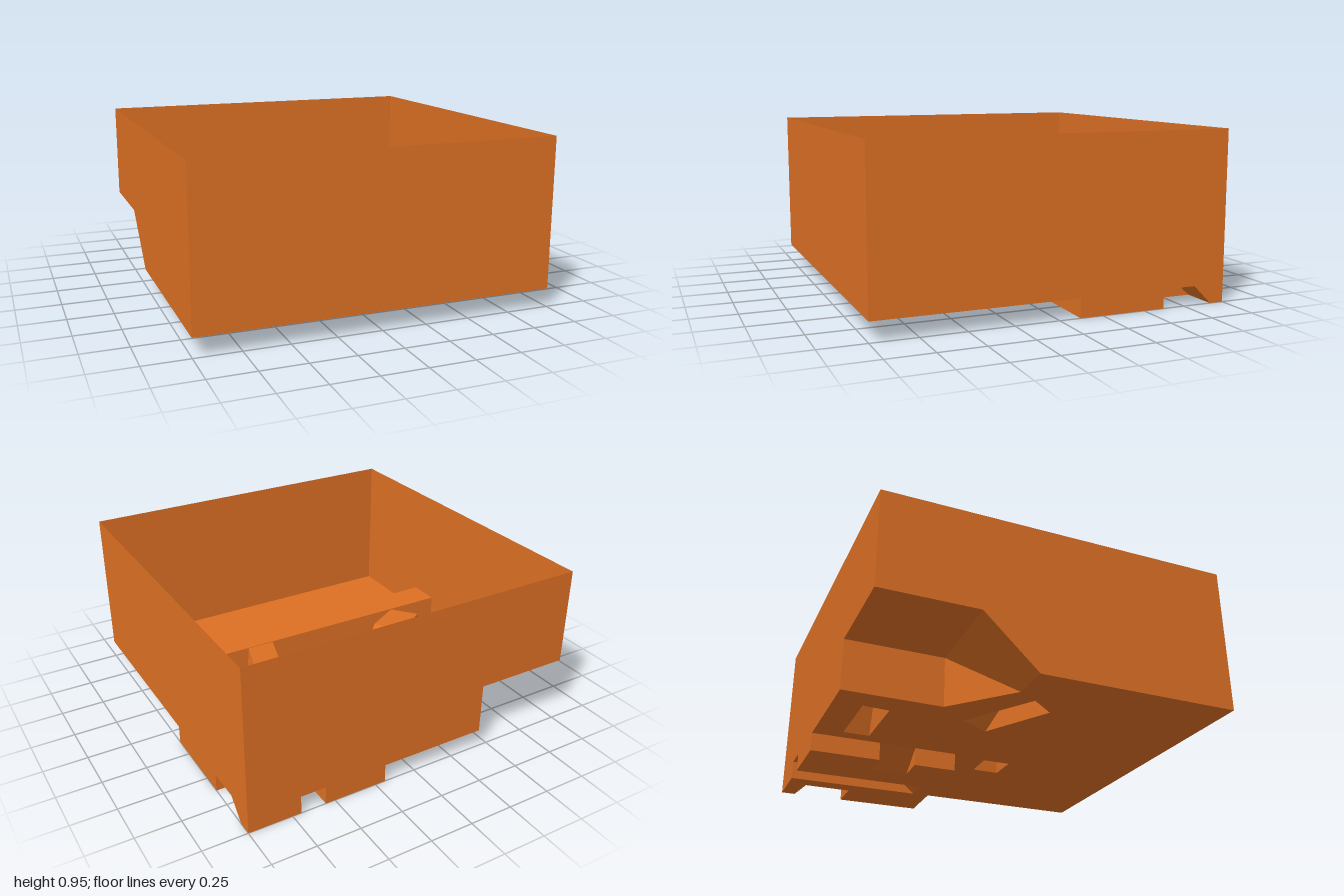
import * as THREE from 'three';

const RIM = 0.96, FLOOR = 0.11, PIT = 0.005;

export function createModel() {
  const model = new THREE.Group();
  model.name = 'arena';
  const clay = new THREE.MeshStandardMaterial({ color: 0xdd7024, side: THREE.DoubleSide, flatShading: true });
  clay.name = 'orange clay';

  const addMesh = (name, geometry, parent = model) => {
    const mesh = new THREE.Mesh(geometry, clay);
    mesh.name = name;
    parent.add(mesh);
  };

  // Geometry from a list of quads, each four [x, y, z] corners
  const quads = (list) => {
    const pos = list.flatMap(([a, b, c, d]) => [a, b, c, a, c, d].flat());
    const g = new THREE.BufferGeometry();
    g.setAttribute('position', new THREE.Float32BufferAttribute(pos, 3));
    g.computeVertexNormals();
    return g;
  };

  // Level sheet from an [x, z] outline with holes, facing up
  const sheet = (name, y, outline, holes = []) => {
    const toPoints = (list) => list.map(([x, z]) => new THREE.Vector2(x, -z));
    const shape = new THREE.Shape(toPoints(outline));
    holes.forEach((h) => shape.holes.push(new THREE.Path(toPoints(h))));
    addMesh(name, new THREE.ShapeGeometry(shape).rotateX(-Math.PI / 2).translate(0, y, 0));
  };

  // Upright wall along a chain of [x, z, bottom]
  const wall = (name, top, chain) => {
    const list = [];
    for (let i = 0; i + 1 < chain.length; i++) {
      const [ax, az, ay] = chain[i], [bx, bz, by] = chain[i + 1];
      if (ax === bx && az === bz) continue;
      list.push([[ax, ay, az], [bx, by, bz], [bx, top, bz], [ax, top, az]]);
    }
    addMesh(name, quads(list));
  };

  // Raised block: stations [first side, second side, height], with sides down to base
  const block = (name, base, stations, { cap = true, sides = [0, 1] } = {}) => {
    const at = ([x, z], y) => [x, y, z];
    const list = [];
    for (let i = 0; i + 1 < stations.length; i++) {
      const s = stations[i], t = stations[i + 1];
      list.push([at(s[0], s[2]), at(s[1], s[2]), at(t[1], t[2]), at(t[0], t[2])]);
      for (const k of sides) {
        list.push([at(s[k], base), at(t[k], base), at(t[k], t[2]), at(s[k], s[2])]);
      }
    }
    const [a, b, y] = stations[0];
    if (cap) list.push([at(a, base), at(b, base), at(b, y), at(a, y)]);
    addMesh(name, quads(list));
  };

  // Outer walls, whose lower edge follows the terrain
  wall('outerWall', RIM, [
    [1, 1, FLOOR], [1, -0.12, FLOOR], [1, -0.12, PIT], [1, -0.62, PIT], [1, -0.62, FLOOR],
    [1, -0.815, FLOOR], [1, -0.92, PIT], [1, -1, PIT],
    [0.7, -1, PIT], [0.7, -1, FLOOR], [0.555, -1, FLOOR], [0.555, -1, PIT], [0.19, -1, PIT], [0.19, -1, FLOOR],
    [-0.44, -1, FLOOR], [-0.44, -1, 0.4], [-1, -1, 0.4],
    [-1, -0.45, 0.4], [-1, -0.145, FLOOR], [-1, 1, FLOOR], [1, 1, FLOOR],
  ]);

  // Main floor, open beneath the hollow blocks
  sheet('mainFloor', FLOOR, [
    [-1, 1], [1, 1], [1, -0.12], [0.19, -0.135], [0.19, -1], [-0.44, -1],
    [-0.44, -0.44], [-0.77, -0.145], [-1, -0.145],
  ], [
    [[-0.29, -0.84], [0.11, -0.84], [0.11, -0.69], [-0.28, -0.69]],
    [[-0.7, -0.03], [-0.59, 0.11], [-0.21, -0.105], [-0.31, -0.275]],
    [[0.22, 0.065], [0.4, 0.07], [0.4, 0.23], [0.22, 0.23]],
  ]);

  // Sunken floor and its edges
  sheet('pitFloor', PIT, [
    [0.19, -0.135], [1, -0.12], [1, -0.62], [0.8, -0.62], [0.8, -0.92], [1, -0.92], [1, -1],
    [0.7, -1], [0.7, -0.22], [0.555, -0.22], [0.555, -1], [0.19, -1],
    [0.19, -0.6], [0.36, -0.59], [0.36, -0.38], [0.19, -0.385],
  ]);
  wall('pitEdgeBack', FLOOR, [[0.19, -1, PIT], [0.19, -0.6, PIT]]);
  wall('pitEdgeFront', FLOOR, [[0.19, -0.385, PIT], [0.19, -0.135, PIT], [1, -0.12, PIT]]);

  // Ramps and causeway inside the pit
  block('pitRamp', PIT, [
    [[0.19, -0.6], [0.19, -0.385], FLOOR], [[0.36, -0.59], [0.36, -0.38], PIT],
  ], { cap: false });
  block('causeway', PIT, [
    [[0.555, -1], [0.7, -1], FLOOR], [[0.555, -0.35], [0.7, -0.35], FLOOR], [[0.555, -0.22], [0.7, -0.22], PIT],
  ], { cap: false });
  block('sideLedge', PIT, [
    [[0.8, -0.62], [1, -0.62], FLOOR], [[0.8, -0.8], [1, -0.815], FLOOR], [[0.8, -0.92], [1, -0.92], PIT],
  ], { sides: [0] });

  // Blocks standing on the main floor
  block('cornerPlatform', FLOOR, [
    [[-1, -1], [-0.44, -1], 0.4], [[-1, -0.45], [-0.44, -0.44], 0.4], [[-1, -0.145], [-0.77, -0.145], FLOOR],
  ], { cap: false, sides: [1] });
  block('tower', FLOOR, [
    [[-0.29, -0.84], [-0.28, -0.69], 0.587], [[-0.04, -0.84], [-0.04, -0.69], 0.587],
    [[0.11, -0.84], [0.11, -0.69], FLOOR],
  ]);
  block('angledBlock', FLOOR, [
    [[-0.7, -0.03], [-0.59, 0.11], 0.335], [[-0.49, -0.17], [-0.39, 0], 0.335],
    [[-0.31, -0.275], [-0.21, -0.105], FLOOR],
  ]);
  block('longPlatform', FLOOR, [
    [[0.715, 0.23], [0.715, 0.4], 0.27], [[-1, 0.215], [-1, 0.4], 0.27],
  ]);

  // Ramp up to the long platform, its one side leaning slightly
  const [l, r, rt, lt, foot] = [[0.22, FLOOR, 0.065], [0.4, FLOOR, 0.07], [0.385, 0.27, 0.23], [0.22, 0.27, 0.23], [0.4, FLOOR, 0.23]];
  addMesh('platformRamp', quads([
    [l, lt, rt, r], [r, rt, foot, foot], [l, [0.22, FLOOR, 0.23], lt, lt],
  ]));

  return model;
}
